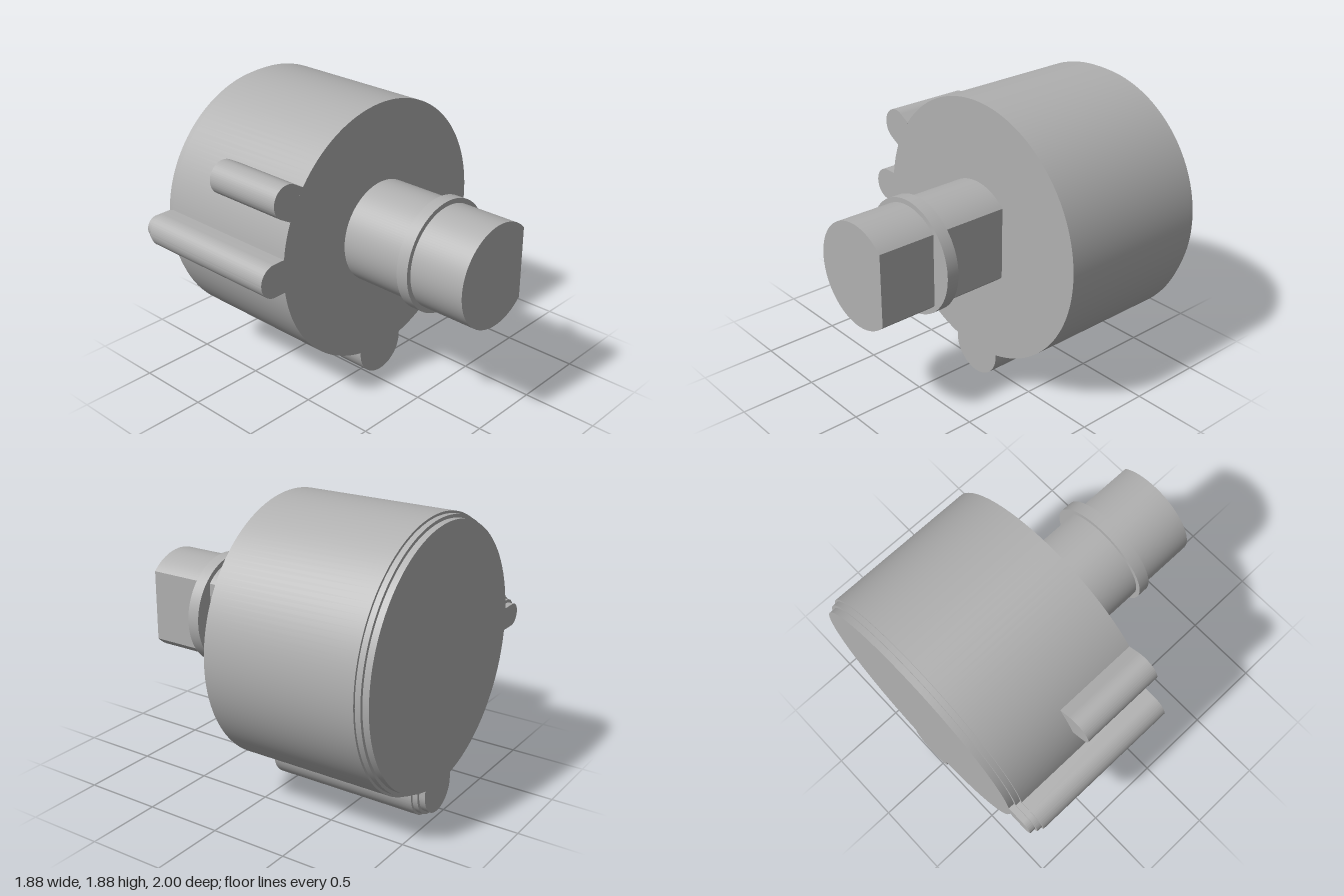
import * as THREE from 'three';
import { toCreasedNormals } from 'three/addons/utils/BufferGeometryUtils.js';

const R = 0.85; // body radius
const SIDE_LUG = { angle: Math.PI, dist: 0.92, r: 0.108 };
const BOTTOM_LUG = { angle: Math.PI * 1.5, dist: 0.845, r: 0.19 };
const SHORT_LUG = { angle: Math.PI * 5 / 6, dist: 0.922, r: 0.108 };

// Rounded end of a lug, drawn counter-clockwise
function lugArc(shape, { angle, dist, r }, inset = 0) {
  shape.absarc(Math.cos(angle) * dist, Math.sin(angle) * dist, r - inset,
    angle - Math.PI / 2, angle + Math.PI / 2, false);
}

// Half the angle a lug takes up on the body's rim
const lugHalfAngle = (lug, inset = 0) => Math.asin((lug.r - inset) / (R - inset));

// Round body outline with the two full-length lugs, shrunk by an inset
function bodyOutline(inset) {
  const shape = new THREE.Shape();
  const side = lugHalfAngle(SIDE_LUG, inset);
  const bottom = lugHalfAngle(BOTTOM_LUG, inset);
  shape.absarc(0, 0, R - inset, BOTTOM_LUG.angle + bottom - Math.PI * 2, SIDE_LUG.angle - side, false);
  lugArc(shape, SIDE_LUG, inset);
  shape.absarc(0, 0, R - inset, SIDE_LUG.angle + side, BOTTOM_LUG.angle - bottom, false);
  lugArc(shape, BOTTOM_LUG, inset);
  shape.closePath();
  return shape;
}

// Short lug whose inner edge follows the body
function shortLugOutline() {
  const shape = new THREE.Shape();
  const half = lugHalfAngle(SHORT_LUG);
  lugArc(shape, SHORT_LUG);
  shape.absarc(0, 0, R, SHORT_LUG.angle + half, SHORT_LUG.angle - half, true);
  shape.closePath();
  return shape;
}

// Round shaft with one flat on its +x side
function shaftOutline() {
  const r = 0.335;
  const a = Math.acos(0.24 / r);
  const shape = new THREE.Shape();
  shape.absarc(0, 0, r, a, Math.PI * 2 - a, false);
  shape.closePath();
  return shape;
}

function discOutline(r) {
  const shape = new THREE.Shape();
  shape.absarc(0, 0, r, 0, Math.PI * 2, false);
  return shape;
}

export function createModel() {
  const model = new THREE.Group();
  model.name = 'motor';
  const grey = new THREE.MeshStandardMaterial({ color: 0xb0b0b0 });
  grey.name = 'grey';

  // Extrude an outline between two depths, around the shared axis
  function addPart(name, shape, zBack, zFront) {
    const geometry = new THREE.ExtrudeGeometry(shape, {
      depth: zFront - zBack, bevelEnabled: false, curveSegments: 48,
    });
    const mesh = new THREE.Mesh(toCreasedNormals(geometry, 0.5), grey);
    mesh.name = name;
    mesh.position.set(0.09, 1.035, zBack);
    model.add(mesh);
  }

  // Housing and its stepped back rim
  addPart('housing', bodyOutline(0), -0.925, 0.09);
  addPart('backStepOuter', bodyOutline(0.015), -0.96, -0.925);
  addPart('backStepInner', bodyOutline(0.035), -1, -0.96);
  addPart('shortLug', shortLugOutline(), -0.46, 0.09);

  // Output shaft and collar
  addPart('shaft', shaftOutline(), 0.09, 1);
  addPart('collar', discOutline(0.366), 0.54, 0.62);

  return model;
}
